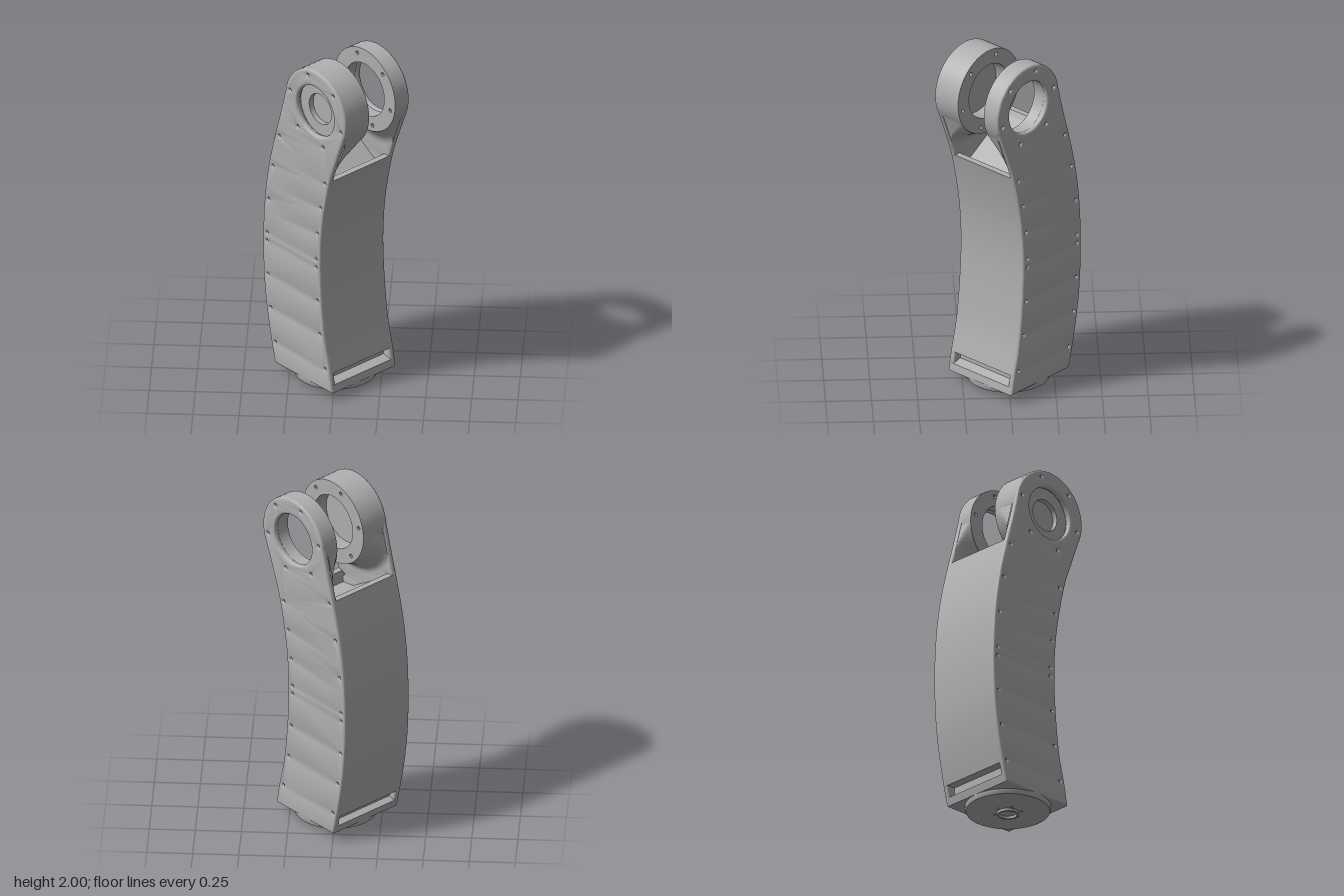
import * as THREE from 'three';
import { toCreasedNormals } from 'three/addons/utils/BufferGeometryUtils.js';

const RING = { u: 0.09, y: 1.755, r: 0.245, bore: 0.157 };
const V = (x, y) => new THREE.Vector2(x, y);
const sample = (pts) => new THREE.SplineCurve(pts.map(p => V(...p))).getPoints(60);

// Curved edges of the link in side profile, bottom to top
const front = sample([[0.226, 0.05], [0.207, 0.16], [0.165, 0.35], [0.14, 0.58], [0.13, 0.8], [0.14, 1.0],
  [0.165, 1.17], [0.207, 1.36], [0.255, 1.5], [0.3, 1.62], [0.324, 1.683]]);
const rear = sample([[-0.235, 0.05], [-0.262, 0.16], [-0.3, 0.35], [-0.325, 0.55], [-0.333, 0.8], [-0.32, 1.05],
  [-0.287, 1.27], [-0.235, 1.48], [-0.19, 1.64], [-0.152, 1.79]]);

// Edge position at a given height
function edgeAt(edge, y) {
  const i = Math.min(Math.max(edge.findIndex(p => p.y >= y), 1), edge.length - 1);
  const a = edge[i - 1], b = edge[i];
  return y > edge[edge.length - 1].y ? edge[edge.length - 1].x : a.x + (b.x - a.x) * (y - a.y) / (b.y - a.y);
}

const circle = (x, y, r) => new THREE.Path().absarc(x, y, r, 0, Math.PI * 2, true);

function screwRing(shape, r) {
  for (let i = 0; i < 6; i++) {
    const a = (-13 + i * 60) * Math.PI / 180;
    shape.holes.push(circle(RING.u + 0.21 * Math.cos(a), RING.y + 0.21 * Math.sin(a), r));
  }
}

// Side plate: curved outline with round top, bore and screw holes
function plateGeometry() {
  const arc = [];
  for (let i = 1; i < 40; i++) {
    const a = (-17 + 188.8 * i / 40) * Math.PI / 180;
    arc.push(V(RING.u + RING.r * Math.cos(a), RING.y + RING.r * Math.sin(a)));
  }
  const shape = new THREE.Shape([...front, ...arc, ...[...rear].reverse()]);
  shape.holes.push(circle(RING.u, RING.y, 0.15));
  screwRing(shape, 0.007);
  for (const y of [0.18, 0.38, 0.58, 0.785, 0.835, 1.0, 1.17, 1.335])
    shape.holes.push(circle(edgeAt(front, y) - 0.034, y, 0.006));
  for (const y of [0.18, 0.38, 0.58, 0.785, 0.835, 1.05, 1.27, 1.48])
    shape.holes.push(circle(edgeAt(rear, y) + 0.034, y, 0.006));
  const b = 0.012;
  return toCreasedNormals(new THREE.ExtrudeGeometry(shape, {
    depth: 0.011, bevelThickness: b, bevelSize: b, bevelOffset: -b, bevelSegments: 3, curveSegments: 20,
  }), 0.6);
}

// Solid core between the plates, with grip slots at the foot and a sloped well on top
function coreGeometry() {
  const f = front.filter(p => p.y > 0.17 && p.y < 1.35);
  const r = rear.filter(p => p.y > 0.17 && p.y < 1.49).reverse();
  const pts = [
    V(0.226, 0.05), V(0.219, 0.095), V(0.165, 0.11), V(0.165, 0.16), V(0.207, 0.16), ...f,
    V(0.207, 1.36), V(0.17, 1.36), V(0.165, 1.29), V(0.085, 1.3), V(-0.18, 1.47), V(-0.195, 1.5),
    V(edgeAt(rear, 1.5), 1.5), ...r,
    V(-0.262, 0.16), V(-0.21, 0.16), V(-0.21, 0.11), V(-0.246, 0.095), V(-0.235, 0.05),
  ];
  const geo = new THREE.ExtrudeGeometry(new THREE.Shape(pts), { depth: 0.44, bevelEnabled: false });
  return toCreasedNormals(geo.translate(0, 0, -0.22), 0.4);
}

// Turned boss about the joint axis, profile as [radius, depth]
function bossGeometry(profile) {
  const geo = new THREE.LatheGeometry(profile.map(p => V(...p)), 64);
  return toCreasedNormals(geo.rotateX(Math.PI / 2).translate(RING.u, RING.y, 0), 0.6);
}

// Inner ring face with screw holes
function capGeometry(z) {
  const shape = new THREE.Shape().absarc(RING.u, RING.y, RING.r, 0, Math.PI * 2, false);
  shape.holes.push(circle(RING.u, RING.y, RING.bore));
  screwRing(shape, 0.011);
  const geo = new THREE.ExtrudeGeometry(shape, { depth: 0.02, bevelEnabled: false, curveSegments: 32 });
  return toCreasedNormals(geo.translate(0, 0, z), 0.6);
}

// Concave flare blending the boss into the plate below it, kept inside the outline
function flareGeometry(zBoss, zPlate) {
  const n = 48, m = 10, pos = [], idx = [];
  for (let i = 0; i <= n; i++) {
    const a = Math.PI * (1.01 + 0.98 * i / n);
    for (let j = 0; j <= m; j++) {
      const t = j / m, r = 0.243 + 0.1 * t;
      const y = RING.y + r * Math.sin(a);
      const u = Math.min(Math.max(RING.u + r * Math.cos(a), edgeAt(rear, y) + 0.003), edgeAt(front, y) - 0.003);
      pos.push(u, y, zPlate + (zBoss - zPlate) * Math.pow(1 - t, 2));
      if (i < n && j < m) {
        const k = i * (m + 1) + j;
        idx.push(k, k + 1, k + m + 1, k + 1, k + m + 2, k + m + 1);
      }
    }
  }
  // Wind so the surface faces the gap between the arms
  if (zBoss > 0) for (let k = 0; k < idx.length; k += 3) [idx[k], idx[k + 1]] = [idx[k + 1], idx[k]];
  const geo = new THREE.BufferGeometry();
  geo.setAttribute('position', new THREE.Float32BufferAttribute(pos, 3));
  geo.setIndex(idx);
  geo.computeVertexNormals();
  return geo;
}

export function createModel() {
  const metal = new THREE.MeshStandardMaterial({ color: 0xb0b0b0, side: THREE.DoubleSide });
  metal.name = 'grey metal';
  const link = new THREE.Group();
  link.name = 'armLink';
  const add = (name, geo, z = 0) => {
    const mesh = new THREE.Mesh(geo, metal);
    mesh.name = name;
    mesh.position.z = z;
    link.add(mesh);
  };

  add('core', coreGeometry());
  const plate = plateGeometry();
  add('thickArmPlate', plate, 0.212);
  add('thinArmPlate', plate, -0.223);

  // Thick arm: blind bore on both sides with a central pocket
  add('thickArmBoss', bossGeometry([[0, 0.15], [RING.bore, 0.15], [RING.bore, 0.08], [RING.r, 0.08], [RING.r, 0.22],
    [RING.bore, 0.22], [RING.bore, 0.195], [0.09, 0.195], [0.09, 0.165], [0, 0.165]]));
  add('thickArmRing', capGeometry(0.06));
  add('thickArmFlare', flareGeometry(0.06, 0.2));

  // Thin arm: open bore
  add('thinArmBoss', bossGeometry([[RING.bore, -0.15], [RING.bore, -0.22], [RING.r, -0.22], [RING.r, -0.15],
    [RING.bore, -0.15]]));
  add('thinArmRing', capGeometry(-0.15));
  add('thinArmFlare', flareGeometry(-0.13, -0.2));

  // Round mounting flange and its centring ring under the foot
  const turned = (pts) => toCreasedNormals(new THREE.LatheGeometry(pts.map(p => V(...p)), 64), 0.6);
  add('mountFlange', turned([[0, 0.015], [0.215, 0.015], [0.228, 0.022], [0.234, 0.035], [0.234, 0.06]]));
  add('centringRing', turned([[0.048, 0.016], [0.048, 0], [0.058, 0], [0.058, 0.016]]));
  for (let i = 0; i < 6; i++) {
    const a = i * Math.PI / 3;
    const stud = new THREE.CylinderGeometry(0.006, 0.006, 0.008, 12);
    add('mountStud', stud.translate(0.075 * Math.cos(a), 0.014, 0.075 * Math.sin(a)));
  }

  link.rotation.y = -Math.PI / 4;
  const model = new THREE.Group();
  model.name = 'roboticArmLink';
  model.add(link);
  return model;
}
